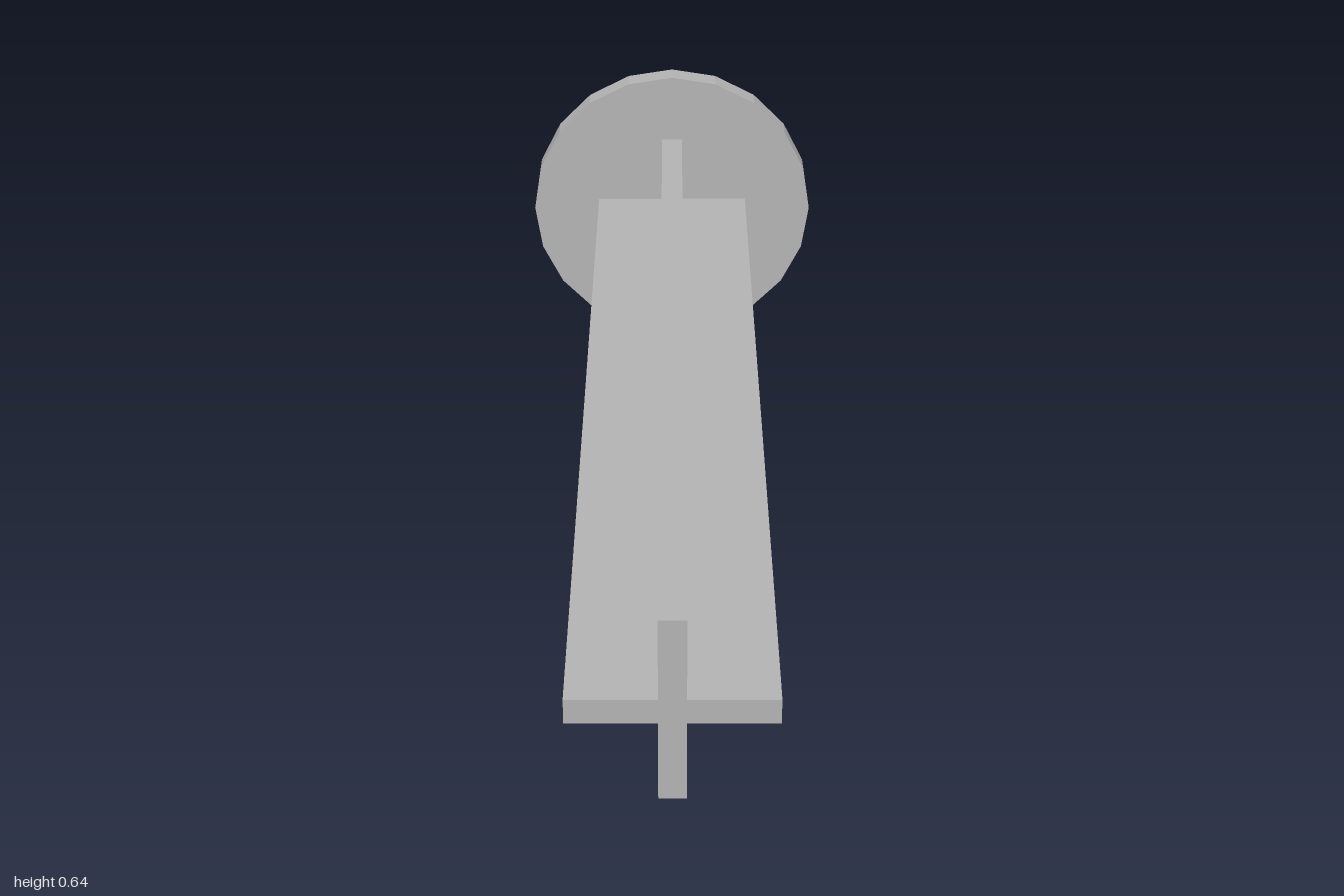
import * as THREE from 'three';

export function createModel() {
  const group = new THREE.Group();
  const grey = new THREE.MeshStandardMaterial({ color: 0xb3b3b3, flatShading: true });
  grey.name = 'plain grey';

  const radius = 0.318, discDepth = 0.055; // end disc
  const arm = 0.169, half = 0.0225;        // cross: arm reach, half thickness
  const backZ = -1, frontZ = 1;

  // 20-sided end disc, facing along z
  const disc = new THREE.Mesh(new THREE.CylinderGeometry(radius, radius, discDepth, 20), grey);
  disc.name = 'endDisc';
  disc.rotation.x = Math.PI / 2;
  disc.position.set(0, radius, backZ + discDepth / 2);
  group.add(disc);

  // Cross-shaped shaft: one quarter outline turned four times
  const points = [];
  for (let i = 0; i < 4; i++) {
    for (const [x, y] of [[arm, -half], [arm, half], [half, half]]) {
      points.push(new THREE.Vector2(x, y).rotateAround(new THREE.Vector2(), i * Math.PI / 2));
    }
  }
  const shaft = new THREE.Mesh(
    new THREE.ExtrudeGeometry(new THREE.Shape(points), {
      depth: frontZ - backZ - discDepth, bevelEnabled: false,
    }), grey);
  shaft.name = 'crossShaft';
  shaft.position.set(0, radius, backZ + discDepth);
  group.add(shaft);

  return group;
}
